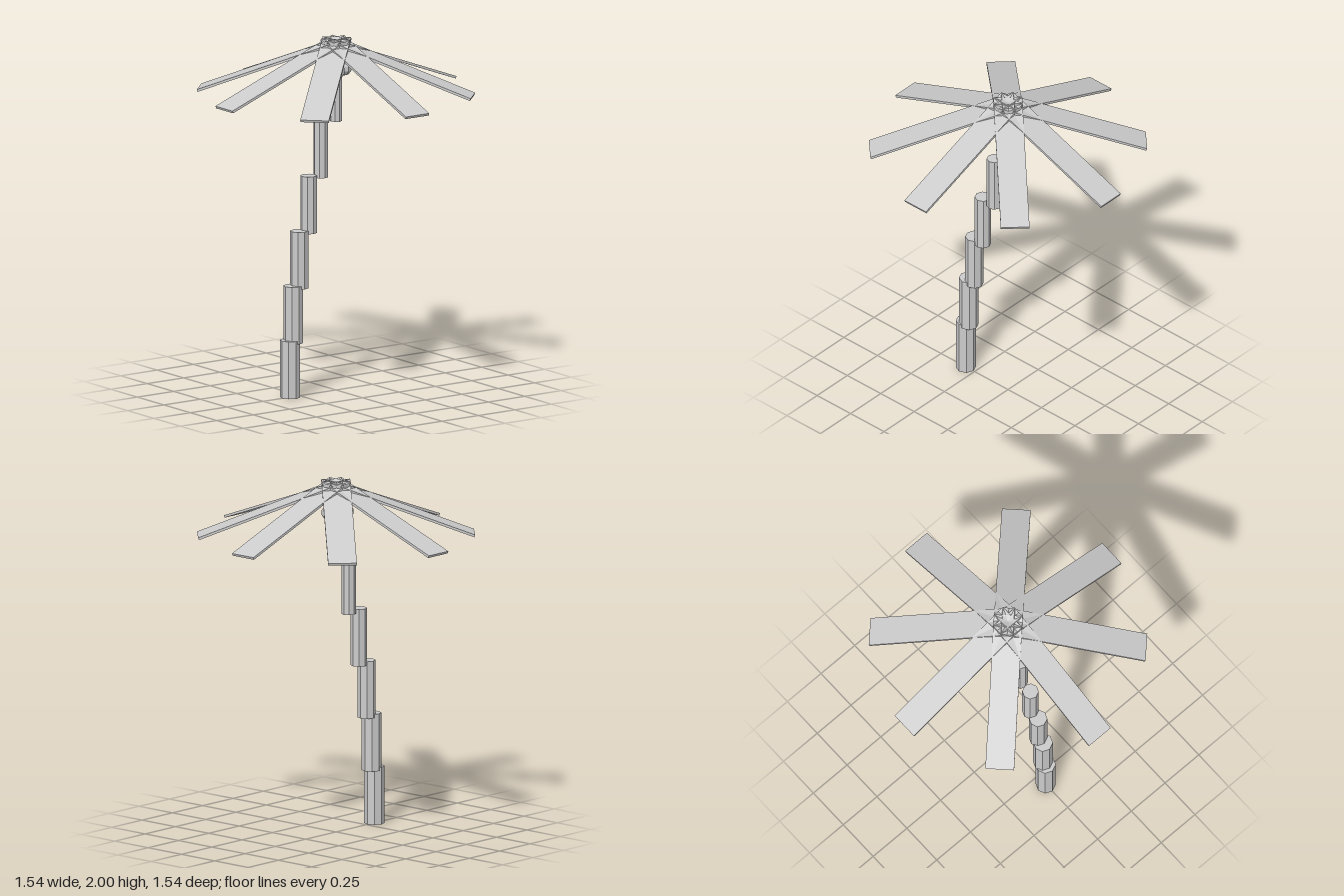
import * as THREE from 'three';

const material = new THREE.MeshStandardMaterial({ color: 0xcccccc, flatShading: true });

function addPart(parent, name, geometry, x, y, z) {
  const mesh = new THREE.Mesh(geometry, material);
  mesh.name = name;
  mesh.position.set(x, y, z);
  parent.add(mesh);
  return mesh;
}

export function createModel() {
  const palm = new THREE.Group();
  palm.name = 'palmTree';

  // Trunk: stacked octagonal segments, stepping sideways and thinning upward
  const trunk = new THREE.Group();
  trunk.name = 'trunk';
  const offsets = [-0.315, -0.293, -0.252, -0.188, -0.105, 0];
  const radii = [0.056, 0.055, 0.051, 0.046, 0.041, 0.035];
  const height = 0.325, step = 0.306;
  offsets.forEach((x, i) => {
    const segment = new THREE.CylinderGeometry(radii[i], radii[i], height, 8);
    addPart(trunk, 'trunkSegment', segment, x, height / 2 + i * step, 0);
  });
  palm.add(trunk);

  // Fronds: eight drooping planks whose inner ends cross over the centre
  const crown = new THREE.Group();
  crown.name = 'crown';
  const frond = new THREE.BoxGeometry(0.857, 0.014, 0.16);
  frond.rotateZ(-0.36);
  frond.translate(0.366, 1.8425, 0);
  for (let i = 0; i < 8; i++) {
    addPart(crown, 'frond', frond, 0, 0, 0).rotation.y = (i * Math.PI) / 4;
  }
  palm.add(crown);

  // Coconuts: three faceted balls around the top of the trunk
  const coconuts = new THREE.Group();
  coconuts.name = 'coconuts';
  const nut = new THREE.SphereGeometry(0.045, 8, 5);
  for (let i = 0; i < 3; i++) {
    const a = (i * Math.PI * 2) / 3;
    addPart(coconuts, 'coconut', nut, 0.055 * Math.cos(a), 1.825, 0.055 * Math.sin(a));
  }
  palm.add(coconuts);

  return palm;
}
